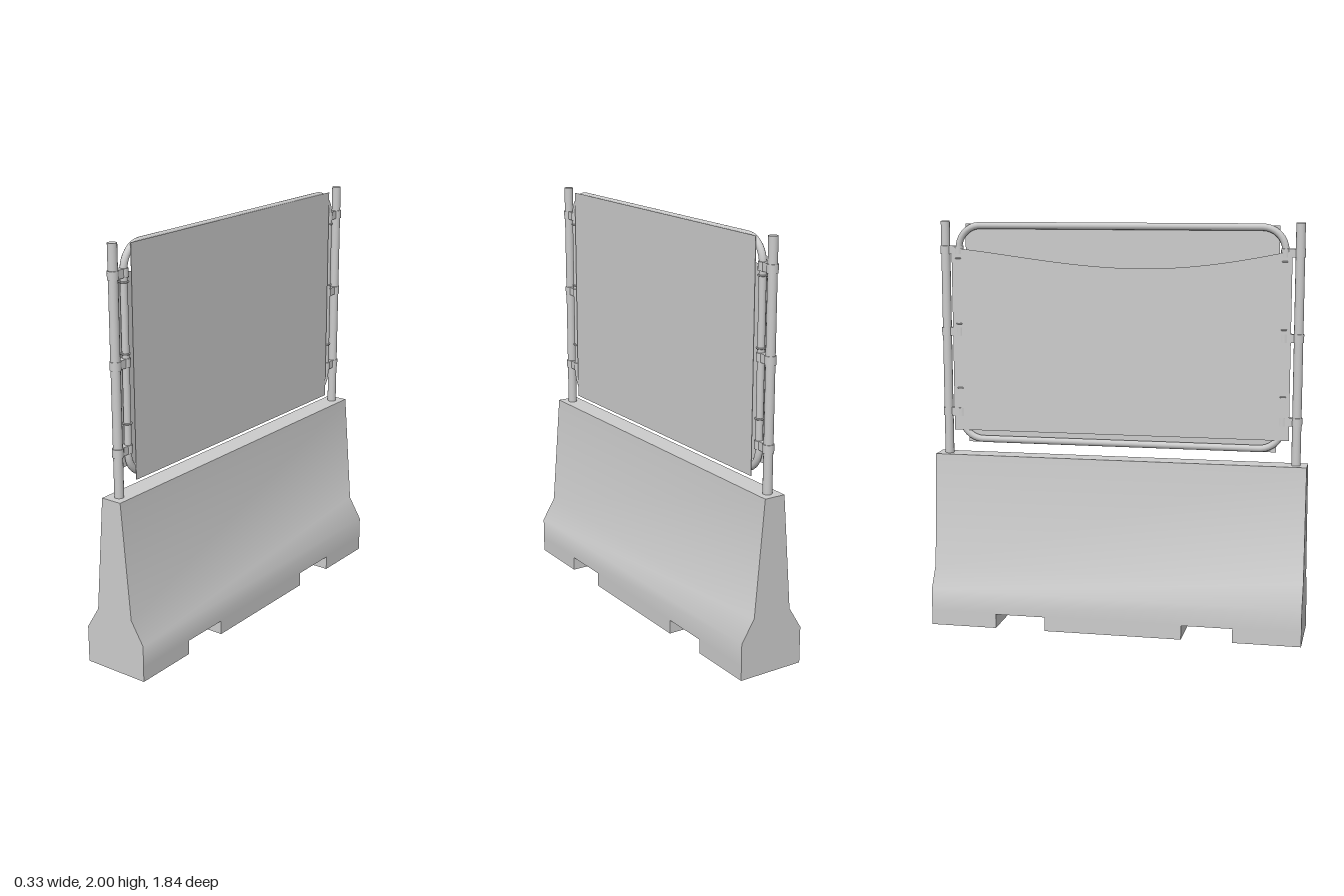
import * as THREE from 'three';
import { toCreasedNormals } from 'three/addons/utils/BufferGeometryUtils.js';

export function createModel() {
  const model = new THREE.Group();
  model.name = 'barrierWithScreen';
  const grey = new THREE.MeshStandardMaterial({ color: 0xcccccc, side: THREE.DoubleSide });
  grey.name = 'light grey';

  const add = (name, geometry, x = 0, y = 0, z = 0, parent = model) => {
    const mesh = new THREE.Mesh(geometry, grey);
    mesh.name = name;
    mesh.position.set(x, y, z);
    parent.add(mesh);
    return mesh;
  };

  // Concrete barrier: stepped profile swept along z
  const half = [[0.167, 0.07], [0.167, 0.18], [0.1, 0.29], [0.053, 0.85]];
  const outline = [...half, ...half.map(([x, y]) => [-x, y]).reverse()];
  const profile = new THREE.Shape(outline.map(([x, y]) => new THREE.Vector2(x, y)));
  const body = new THREE.ExtrudeGeometry(profile, { depth: 1.84, bevelEnabled: false });
  add('barrierBody', toCreasedNormals(body, 0.7), 0, 0, -0.92);

  // Three feet leave two lifting slots between them
  for (const [z, length] of [[-0.755, 0.33], [0, 0.68], [0.755, 0.33]]) {
    add('barrierFoot', new THREE.BoxGeometry(0.334, 0.07, length), 0, 0.035, z);
  }

  // Rounded tube frame, in the yz plane
  const w = 0.797, bottom = 0.925, top = 1.979, r = 0.11;
  const v = (y, z) => new THREE.Vector3(0, y, z);
  const path = new THREE.CurvePath();
  const corners = [v(bottom, -w), v(bottom, w), v(top, w), v(top, -w)];
  corners.forEach((corner, i) => {
    const next = corners[(i + 1) % 4];
    const after = corners[(i + 2) % 4];
    const along = next.clone().sub(corner).normalize().multiplyScalar(r);
    const turn = after.clone().sub(next).normalize().multiplyScalar(r);
    const start = corner.clone().add(along);
    const end = next.clone().sub(along);
    path.add(new THREE.LineCurve3(start, end));
    const k = 0.5523;
    path.add(new THREE.CubicBezierCurve3(end, end.clone().addScaledVector(along, k),
      next.clone().addScaledVector(turn, 1 - k), next.clone().add(turn)));
  });
  add('tubeFrame', new THREE.TubeGeometry(path, 240, 0.017, 12, true));

  // Flat panel on one face of the frame
  add('frontPanel', new THREE.BoxGeometry(0.003, 1.08, 1.536), 0.018, 1.446, 0);

  // Sheet on the other face, with a sagging upper edge
  const sheet = new THREE.PlaneGeometry(1.66, 1, 32, 1).rotateY(-Math.PI / 2);
  const p = sheet.attributes.position;
  for (let i = 0; i < p.count; i++) {
    const t = (p.getZ(i) + 0.83) / 1.66;
    const sag = 0.09 * Math.sin(Math.PI * Math.pow(t, 1.2));
    p.setY(i, p.getY(i) > 0 ? 1.87 - sag : 0.97);
  }
  sheet.computeVertexNormals();
  add('saggingSheet', sheet, -0.018, 0, 0);

  // Posts, clamps and small ties on both ends
  for (const s of [-1, 1]) {
    add('post', new THREE.CylinderGeometry(0.022, 0.022, 1.15, 16), 0, 1.425, s * 0.865);
    for (const y of [1.06, 1.46, 1.86]) {
      const clamp = new THREE.Group();
      clamp.name = 'clamp';
      add('postBand', new THREE.CylinderGeometry(0.026, 0.026, 0.04, 16), 0, y, s * 0.865, clamp);
      add('frameBand', new THREE.CylinderGeometry(0.022, 0.022, 0.04, 16), 0, y, s * w, clamp);
      add('clampBridge', new THREE.BoxGeometry(0.03, 0.04, 0.07), 0, y, s * 0.831, clamp);
      model.add(clamp);
    }
    for (const y of [1.18, 1.5, 1.82]) {
      add('tie', new THREE.TorusGeometry(0.02, 0.004, 6, 16).rotateX(Math.PI / 2), 0, y, s * w);
    }
  }
  return model;
}
